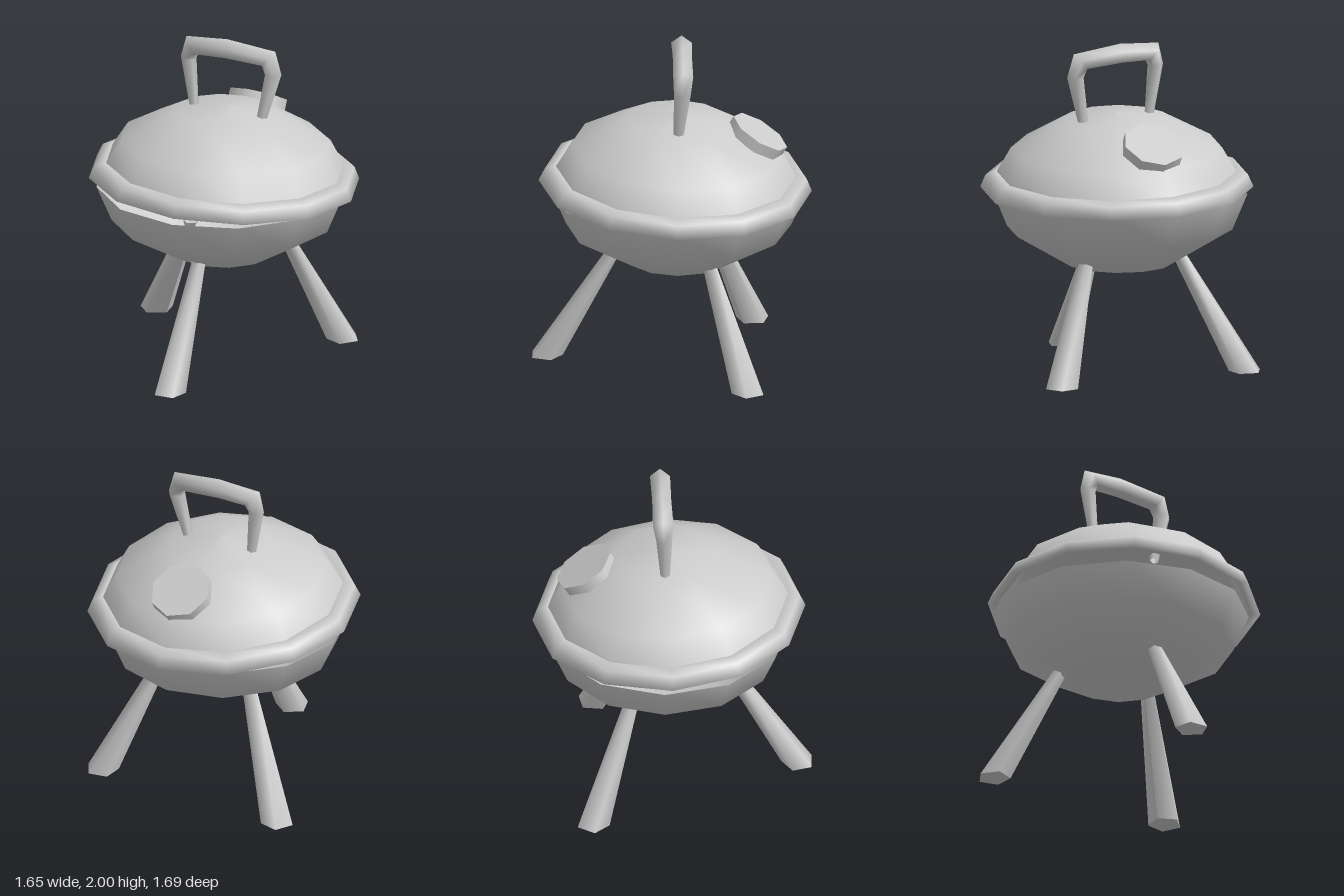
import * as THREE from 'three';

const material = new THREE.MeshStandardMaterial({ color: 0xcccccc, side: THREE.DoubleSide });

function addMesh(parent, name, geometry) {
  const mesh = new THREE.Mesh(geometry, material);
  mesh.name = name;
  parent.add(mesh);
  return mesh;
}

// Twelve-sided turned shape; profile runs from bottom to top
const lathe = (profile) =>
  new THREE.LatheGeometry(profile.map(([r, y]) => new THREE.Vector2(r, y)), 12);

// Tapered five-sided leg, sheared so that the foot lies flat on the ground
function legGeometry(foot, top, height, turn) {
  const g = new THREE.CylinderGeometry(0.046, 0.102, height, 5);
  g.rotateY(turn);
  g.translate(0, height / 2, 0);
  const p = g.attributes.position;
  for (let i = 0; i < p.count; i++) {
    const t = p.getY(i) / height;
    p.setX(i, p.getX(i) + THREE.MathUtils.lerp(foot[0], top[0], t));
    p.setZ(i, p.getZ(i) + THREE.MathUtils.lerp(foot[1], top[1], t));
  }
  g.computeVertexNormals();
  return g;
}

// Five-sided sweep along stations of [x, y, z, radius] lying roughly in the xy plane
function sweepGeometry(stations, sides = 5) {
  const positions = [], index = [];
  const points = stations.map(([x, y]) => new THREE.Vector2(x, y));
  const direction = (i) => points[i + 1].clone().sub(points[i]).normalize();
  const last = stations.length - 1;
  stations.forEach(([x, y, z, r], i) => {
    const tangent = direction(Math.min(i, last - 1));
    if (i > 0 && i < last) tangent.add(direction(i - 1)).normalize();
    for (let j = 0; j < sides; j++) {
      const a = (j / sides) * Math.PI * 2;
      const n = r * Math.cos(a);
      positions.push(x - tangent.y * n, y + tangent.x * n, z + r * Math.sin(a));
      if (i < last) {
        const k = (j + 1) % sides;
        const a0 = i * sides + j, b0 = i * sides + k;
        index.push(a0, b0, b0 + sides, a0, b0 + sides, a0 + sides);
      }
    }
  });
  const g = new THREE.BufferGeometry();
  g.setAttribute('position', new THREE.Float32BufferAttribute(positions, 3));
  g.setIndex(index);
  g.computeVertexNormals();
  return g;
}

export function createModel() {
  const model = new THREE.Group();
  model.name = 'kettleGrill';

  // Open bowl
  const bowl = addMesh(model, 'bowl', lathe([[0, 0.61], [0.32, 0.645], [0.683, 0.86], [0.775, 1.08]]));
  bowl.position.set(-0.01, 0, -0.045);

  // Lid and its rolled rim, resting slightly askew on the bowl
  const lid = new THREE.Group();
  lid.name = 'lid';
  lid.position.set(0, 1.112, -0.025);
  lid.rotation.set(-0.048, 0.035, -0.036);
  model.add(lid);
  addMesh(lid, 'lidDome', lathe([[0.73, 0.09], [0.64, 0.245], [0.315, 0.428], [0, 0.463]]));
  addMesh(lid, 'lidRim', lathe([
    [0.77, 0.005], [0.828, 0], [0.795, 0.075], [0.73, 0.1], [0.715, 0.055], [0.77, 0.005],
  ]));

  // Round vent on the back of the lid
  const vent = addMesh(model, 'vent', new THREE.CylinderGeometry(0.19, 0.19, 0.07, 8));
  vent.position.set(0, 1.435, -0.523);
  vent.rotation.x = -0.55;

  // Handle, thin where it meets the lid
  addMesh(model, 'handle', sweepGeometry([
    [-0.205, 1.52, -0.045, 0.028],
    [-0.247, 1.848, -0.052, 0.05],
    [-0.222, 1.932, -0.058, 0.066],
    [0, 1.94, -0.068, 0.061],
    [0.275, 1.915, -0.08, 0.064],
    [0.305, 1.82, -0.075, 0.053],
    [0.232, 1.5, -0.048, 0.03],
  ]));

  // Three splayed legs
  const legs = [
    ['frontLeg', [-0.018, 0.757], [-0.012, 0.335], Math.PI],
    ['backLeftLeg', [0.588, -0.48], [0.315, -0.245], -Math.PI / 3],
    ['backRightLeg', [-0.645, -0.48], [-0.315, -0.245], Math.PI / 3],
  ];
  for (const [name, foot, top, turn] of legs) {
    addMesh(model, name, legGeometry(foot, top, 0.705, turn));
  }
  return model;
}
